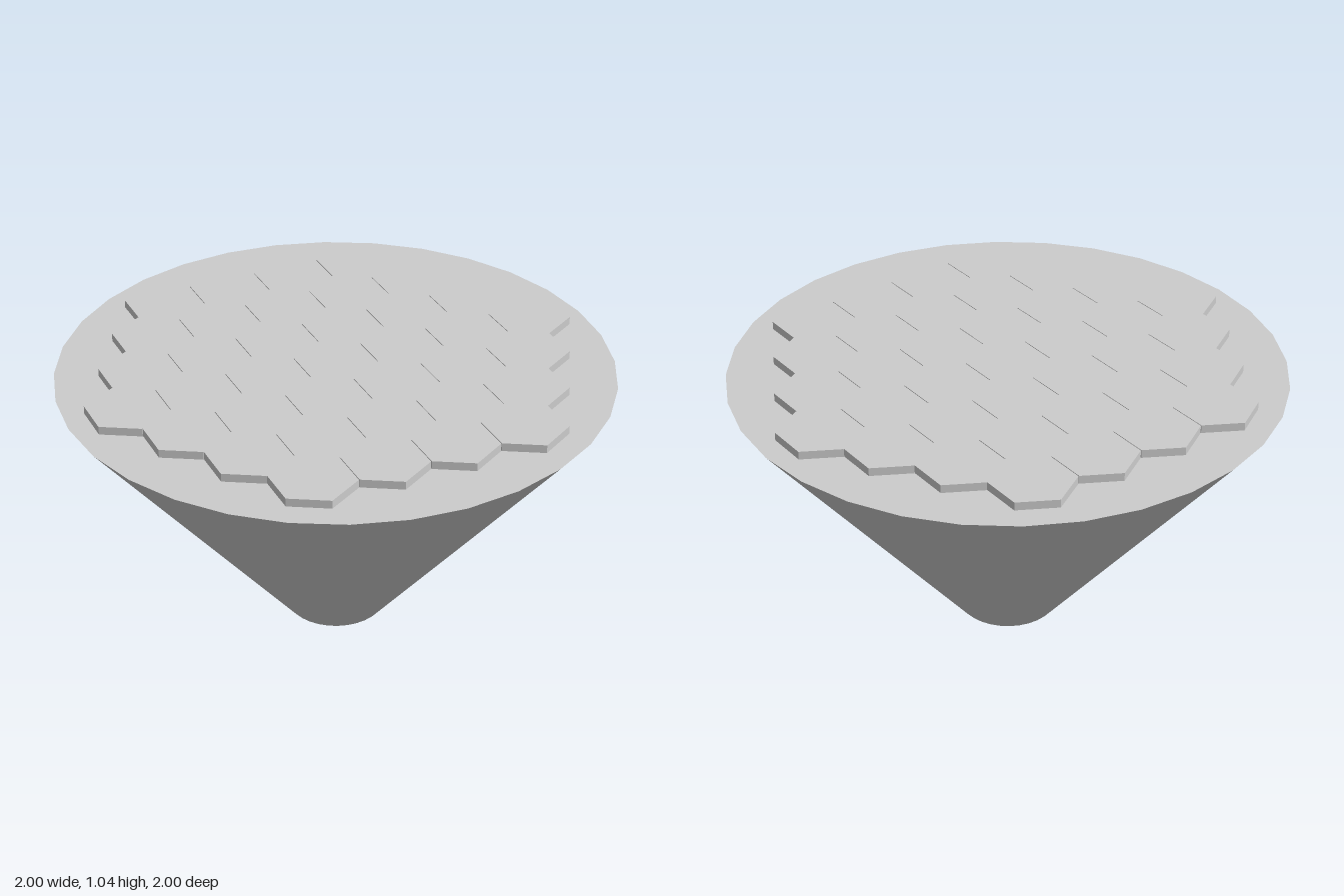
import * as THREE from 'three';

export function createModel() {
  const group = new THREE.Group();
  const material = new THREE.MeshStandardMaterial({ color: 0xcccccc, flatShading: true });

  // Tapered base, closed at both ends
  const baseHeight = 1.01;
  const base = new THREE.Mesh(new THREE.CylinderGeometry(1, 0.187, baseHeight, 32), material);
  base.name = 'taperedBase';
  base.position.y = baseHeight / 2;
  group.add(base);

  // Board of hexagonal tiles: rows of 4, 5, 6, 7, 6, 5, 4
  const tileHeight = 0.03, columnStep = 0.2625, rowStep = 0.2225;
  const tileGeometry = new THREE.CylinderGeometry(0.15, 0.15, tileHeight, 6);
  const tiles = new THREE.Group();
  tiles.name = 'hexTiles';
  for (let row = -3; row <= 3; row++) {
    const count = 7 - Math.abs(row);
    for (let i = 0; i < count; i++) {
      const tile = new THREE.Mesh(tileGeometry, material);
      tile.name = 'hexTile';
      tile.position.set((i - (count - 1) / 2) * columnStep, baseHeight + tileHeight / 2, row * rowStep);
      tiles.add(tile);
    }
  }
  group.add(tiles);
  return group;
}
